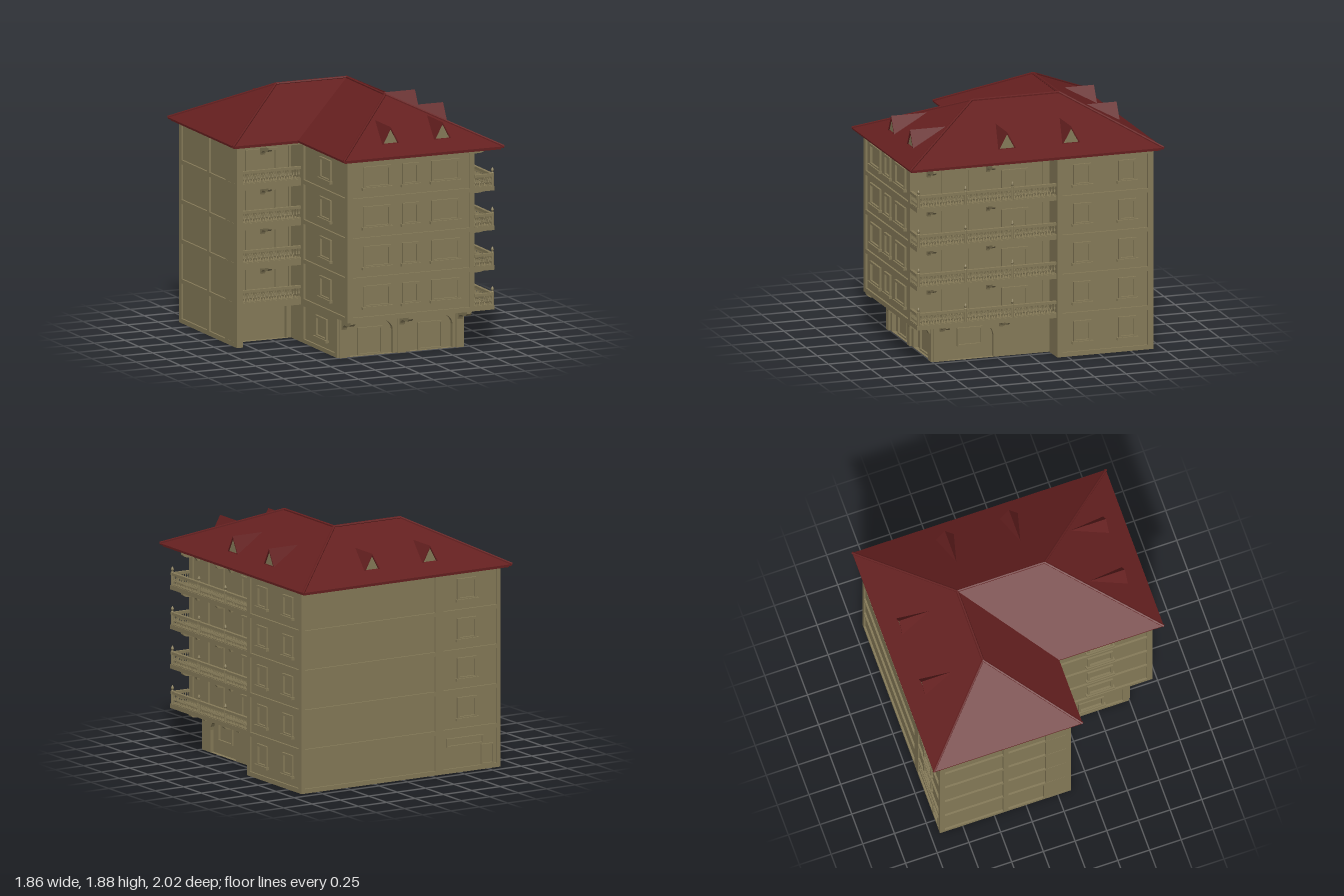
import * as THREE from 'three';

const wallMat = new THREE.MeshStandardMaterial({ color: 0x857a58, flatShading: true, side: THREE.DoubleSide });
const roofMat = new THREE.MeshStandardMaterial({ color: 0x641f1f, flatShading: true, side: THREE.DoubleSide });
const D = 0.015; // panel recess
const PITCH = 0.302; // storey height
const FLOORS = [0, 1, 2, 3].map(k => 0.31 + PITCH * k);

function add(parent, name, geo, mat = wallMat, x = 0, y = 0, z = 0) {
  const m = new THREE.Mesh(geo, mat);
  m.name = name;
  m.position.set(x, y, z);
  parent.add(m);
  return m;
}
// box from min and max corners
function box(parent, name, x0, x1, y0, y1, z0, z1, mat = wallMat) {
  return add(parent, name, new THREE.BoxGeometry(x1 - x0, y1 - y0, z1 - z0), mat, (x0 + x1) / 2, (y0 + y1) / 2, (z0 + z1) / 2);
}
function poly(points, Type = THREE.Shape) {
  return new Type(points.map(p => new THREE.Vector2(p[0], p[1])));
}
const rect = (a, b, c, d, Type) => poly([[a, c], [b, c], [b, d], [a, d]], Type);
// opening with a flattened round head
function arch(a, b, spring, top) {
  const pts = [[a, 0.001], [b, 0.001]];
  for (let i = 0; i <= 14; i++) {
    const t = Math.PI * i / 14;
    pts.push([(a + b) / 2 + (b - a) / 2 * Math.cos(t), spring + (top - spring) * Math.sin(t)]);
  }
  return poly(pts, THREE.Path);
}
function extrude(parent, name, shape, holes, depth, z, mat = wallMat) {
  shape.holes = holes;
  return add(parent, name, new THREE.ExtrudeGeometry(shape, { depth, bevelEnabled: false }), mat, 0, 0, z);
}
// local frame of a facade: u along the wall, outward is local +z
function frame(parent, name, x, z, turn) {
  const g = new THREE.Group();
  g.name = name;
  g.position.set(x, 0, z);
  g.rotation.y = turn * Math.PI / 2;
  parent.add(g);
  return g;
}
// wall with recessed openings and a backing sheet
function wall(f, u0, u1, y0, y1, holes, depth = D) {
  extrude(f, 'wallFace', rect(u0, u1, y0, y1), holes, depth, -depth);
  add(f, 'wallPanel', new THREE.PlaneGeometry(u1 - u0, y1 - y0), wallMat, (u0 + u1) / 2, (y0 + y1) / 2, -depth);
}
function surround(f, u, w, y0, y1, z = -D, edge = 0.018) {
  extrude(f, 'openingFrame', rect(u - w / 2, u + w / 2, y0, y1),
    [rect(u - w / 2 + edge, u + w / 2 - edge, y0 + edge, y1 - edge, THREE.Path)], 0.016, z);
}
function windowAt(f, u, w, y, h = 0.165) {
  surround(f, u, w, y, y + h);
  box(f, 'windowSill', u - w / 2 - 0.012, u + w / 2 + 0.012, y - 0.012, y + 0.008, -D, 0.012);
}
// storeys of recessed panels; columns are [u0, u1], windows are [u, width]
function panelled(f, u0, u1, columns, windows, ground) {
  const levels = ground ? [FLOORS[0] - PITCH, ...FLOORS] : FLOORS;
  wall(f, u0, u1, ground ? 0 : 0.305, 1.535,
    levels.flatMap(y => columns.map(c => rect(c[0], c[1], y + 0.026, y + 0.296, THREE.Path))));
  for (const y of levels) for (const w of windows) if (!w[2] || y > 0.1) windowAt(f, w[0], w[1], y + 0.095);
}
// scrolled bracket hanging from y, projecting along local +z
function bracket(f, u, y, length, drop, width) {
  const s = new THREE.Shape();
  s.moveTo(0, 0);
  s.lineTo(length, 0);
  s.lineTo(length, -drop * 0.2);
  s.quadraticCurveTo(length * 0.9, -drop * 0.55, length * 0.45, -drop * 0.5);
  s.quadraticCurveTo(length * 0.2, -drop * 0.5, length * 0.15, -drop);
  s.lineTo(0, -drop);
  const m = add(f, 'bracket', new THREE.ExtrudeGeometry(s, { depth: width, bevelEnabled: false, curveSegments: 6 }), wallMat, u + width / 2, y, 0);
  m.rotation.y = -Math.PI / 2;
}
const balusterGeo = new THREE.LatheGeometry(
  [[0.005, 0], [0.004, 0.012], [0.008, 0.028], [0.004, 0.05], [0.007, 0.072]].map(p => new THREE.Vector2(...p)), 6);
const postGeo = new THREE.LatheGeometry(
  [[0.012, 0], [0.012, 0.1], [0.006, 0.105], [0.012, 0.12], [0.009, 0.13], [0, 0.145]].map(p => new THREE.Vector2(...p)), 8);
function railing(f, u0, u1, y, z) {
  box(f, 'handRail', u0, u1, y + 0.075, y + 0.095, z - 0.012, z + 0.012);
  box(f, 'bottomRail', u0, u1, y, y + 0.007, z - 0.01, z + 0.01);
  const n = Math.round((u1 - u0) / 0.022);
  for (let i = 0; i < n; i++) add(f, 'baluster', balusterGeo, wallMat, u0 + (i + 0.5) * (u1 - u0) / n, y + 0.005, z);
}
function faces(polys) {
  const pos = [];
  for (const p of polys) for (let i = 1; i < p.length - 1; i++) pos.push(...p[0], ...p[i], ...p[i + 1]);
  const g = new THREE.BufferGeometry();
  g.setAttribute('position', new THREE.Float32BufferAttribute(pos, 3));
  g.computeVertexNormals();
  return g;
}
function dormer(parent, x, z, turn, length) {
  const f = frame(parent, 'dormer', x, z, turn), w = 0.07, h = 0.128;
  f.position.y = 1.617;
  add(f, 'dormerRoof', faces([[[w, 0, 0], [0, h, -length], [0, h, 0]], [[-w, 0, 0], [0, h, 0], [0, h, -length]]]), roofMat);
  extrude(f, 'dormerTrim', poly([[-w, 0], [w, 0], [0, h]]), [poly([[-w + 0.011, 0.003], [w - 0.011, 0.003], [0, h - 0.016]], THREE.Path)], 0.01, -0.01, roofMat);
  add(f, 'dormerGable', faces([[[-w, 0, -0.008], [w, 0, -0.008], [0, h - 0.004, -0.008]]]));
}

function buildRoof(parent) {
  const roof = new THREE.Group();
  roof.name = 'roof';
  parent.add(roof);
  const E = 1.552, R = 1.868;
  const bl = [-0.92, E, -1], br = [0.92, E, -1], fr = [0.92, E, 1], fl = [-0.39, E, 1], inner = [-0.39, E, 0.175], lf = [-0.92, E, 0.175];
  const left = [-0.31, R, -0.4], mid = [0.27, R, -0.4], front = [0.27, R, 0.29];
  add(roof, 'roofSlopes', faces([[br, bl, left, mid], [fr, br, mid, front], [fl, fr, front],
    [inner, fl, front, mid], [lf, inner, mid, left], [bl, lf, left]]), roofMat);
  // ridge and hip caps
  for (const [a, b] of [[bl, left], [lf, left], [left, mid], [br, mid], [mid, front], [fl, front], [fr, front]]) {
    const path = new THREE.LineCurve3(new THREE.Vector3(...a), new THREE.Vector3(...b));
    add(roof, 'ridgeCap', new THREE.TubeGeometry(path, 1, 0.011, 6), roofMat);
  }
  // eaves in two steps
  for (const [inset, y, h] of [[0, 1.541, 0.011], [0.018, 1.528, 0.013]]) {
    const i = inset;
    const s = poly([[-0.92 + i, 1 - i], [0.92 - i, 1 - i], [0.92 - i, -1 + i], [-0.39 + i, -1 + i], [-0.39 + i, -0.175 + i], [-0.92 + i, -0.175 + i]]);
    const m = extrude(roof, 'eaves', s, [], h, 0, roofMat);
    m.rotation.x = -Math.PI / 2;
    m.position.y = y;
  }
  for (const x of [0.06, 0.485]) dormer(roof, x, 0.85, 0, 0.28);
  for (const z of [-0.315, 0.19]) dormer(roof, 0.79, z, 1, 0.26);
  for (const x of [-0.28, 0.23]) dormer(roof, x, -0.87, 2, 0.235);
}

export function createModel() {
  const model = new THREE.Group();
  model.name = 'apartmentBuilding';
  buildRoof(model);

  // overhanging front with three windows per storey
  const front = frame(model, 'frontFacade', 0, 0.93, 0);
  panelled(front, -0.33, 0.71, [[-0.285, 0.67]], [[-0.085, 0.225], [0.19, 0.135], [0.475, 0.23]], false);
  box(model, 'overhangFloor', -0.33, 0.71, 0.3, 0.315, 0.73, 0.93);

  // ground floor arcade
  const arcade = frame(model, 'frontArcade', 0, 0.745, 0);
  wall(arcade, -0.33, 0.71, 0, 0.305, [arch(-0.225, 0.125, 0.18, 0.28), arch(0.265, 0.615, 0.18, 0.28)], 0.035);
  for (const u of [-0.05, 0.44]) surround(arcade, u, 0.2, 0, 0.21, -0.035, 0.012);
  for (const u of [-0.282, 0.192, 0.668]) {
    box(arcade, 'pilaster', u - 0.03, u + 0.03, 0, 0.3, 0, 0.015);
    bracket(arcade, u, 0.302, 0.18, 0.085, 0.038);
  }

  // right side: rear block, step and balcony wall
  const rear = frame(model, 'rightRearFacade', 0.89, 0, 1);
  panelled(rear, 0.17, 0.93, [[0.21, 0.885]], [[0.37, 0.14], [0.725, 0.14]], true);
  box(model, 'stepWall', 0.69, 0.89, 0, 1.535, -0.185, -0.17);
  const side = frame(model, 'balconyFacade', 0.71, 0, 1);
  panelled(side, -0.93, 0.17, [[-0.88, 0.12]], [], false);
  wall(side, -0.745, 0.17, 0, 0.305, [arch(-0.63, -0.27, 0.17, 0.28)], 0.03);
  surround(side, -0.45, 0.2, 0.1, 0.24, -0.03, 0.012);
  for (const u of [-0.68, -0.21]) bracket(side, u, 0.305, 0.15, 0.07, 0.033);
  for (const y of FLOORS) {
    surround(side, -0.56, 0.23, y + 0.026, y + 0.26);
    surround(side, -0.1, 0.21, y + 0.026, y + 0.215);
    box(side, 'balconySlab', -0.93, 0.17, y - 0.008, y + 0.025, 0, 0.165);
    railing(side, -0.925, 0.17, y + 0.025, 0.15);
    for (const u of [-0.915, -0.545, -0.175]) add(side, 'railPost', postGeo, wallMat, u, y + 0.025, 0.153);
    for (const u of [-0.785, -0.318]) bracket(side, u, y + 0.294, 0.15, 0.075, 0.026);
    railing(front, 0.715, 0.86, y + 0.025, -0.012);
  }

  // inner corner wall facing the courtyard
  const court = frame(model, 'courtFacade', -0.33, 0, 3);
  panelled(court, -0.08, 0.93, [[0.14, 0.89]], [[0.52, 0.2]], false);
  wall(court, -0.08, 0.745, 0, 0.305, [rect(0.14, 0.7, 0.03, 0.28, THREE.Path)]);
  windowAt(court, 0.45, 0.2, 0.09);

  // left wing with recessed balconies
  const loggia = frame(model, 'loggia', 0, -0.08, 0);
  panelled(loggia, -0.86, -0.33, [[-0.8, -0.35]], [], false);
  wall(loggia, -0.86, -0.33, 0, 0.305, [rect(-0.78, -0.37, 0.001, 0.265, THREE.Path)], 0.03);
  box(loggia, 'loggiaSideWall', -0.858, -0.81, 0, 1.535, 0, 0.185);
  for (const y of FLOORS) {
    box(loggia, 'loggiaSlab', -0.81, -0.33, y - 0.025, y + 0.025, 0, 0.18);
    surround(loggia, -0.57, 0.26, y + 0.026, y + 0.24);
    railing(loggia, -0.81, -0.33, y + 0.025, 0.165);
    bracket(loggia, -0.57, y + 0.275, 0.15, 0.075, 0.032);
  }
  box(loggia, 'loggiaHead', -0.81, -0.33, 1.505, 1.535, 0, 0.185);

  // plain left side
  const left = frame(model, 'leftFacade', -0.86, 0, 3);
  panelled(left, -0.93, 0.105, [[-0.89, -0.43], [-0.39, 0.065]], [], true);

  // rear: blank panels and one column of windows over a service door
  const back = frame(model, 'backFacade', 0, -0.93, 2);
  panelled(back, -0.89, 0.86, [[-0.86, 0.29], [0.36, 0.83]], [[0.57, 0.17, true]], true);
  surround(back, 0.55, 0.32, 0.2, 0.265, -D, 0.008);
  surround(back, 0.75, 0.11, 0.034, 0.19, -D, 0.01);
  return model;
}
